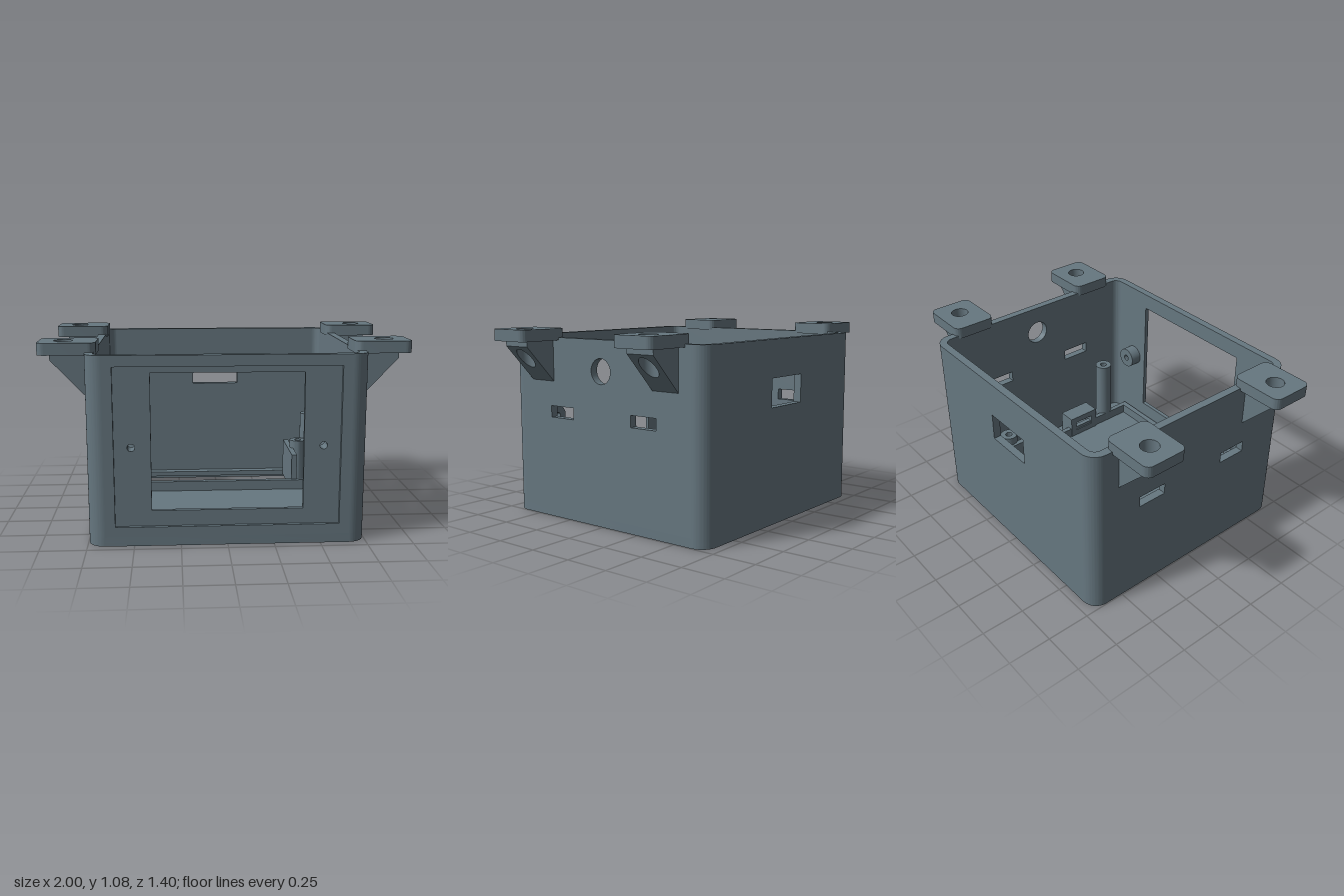
import * as THREE from 'three';
import { toCreasedNormals } from 'three/addons/utils/BufferGeometryUtils.js';

const material = new THREE.MeshStandardMaterial({ color: 0x667780 });
const W = 0.745, D = 0.7, H = 1.025, T = 0.045, R = 0.09, FLOOR = 0.05;

// Rectangle outline between two corners, optionally with rounded corners
function rect(x0, y0, x1, y1, r = 0, Type = THREE.Path) {
  const p = new Type();
  if (!r) {
    p.moveTo(x0, y0).lineTo(x1, y0).lineTo(x1, y1).lineTo(x0, y1).closePath();
    return p;
  }
  p.absarc(x1 - r, y0 + r, r, -Math.PI / 2, 0);
  p.absarc(x1 - r, y1 - r, r, 0, Math.PI / 2);
  p.absarc(x0 + r, y1 - r, r, Math.PI / 2, Math.PI);
  p.absarc(x0 + r, y0 + r, r, Math.PI, Math.PI * 1.5);
  p.closePath();
  return p;
}
const plate = (x0, y0, x1, y1, r) => rect(x0, y0, x1, y1, r, THREE.Shape);
const circle = (x, y, r) => new THREE.Path().absarc(x, y, r, 0, Math.PI * 2);

function extrude(shape, holes, depth) {
  shape.holes.push(...holes);
  return new THREE.ExtrudeGeometry(shape, { depth, bevelEnabled: false, curveSegments: 16 });
}

export function createModel() {
  const model = new THREE.Group();
  model.name = 'enclosure';
  const add = (name, geometry, parent = model) => {
    const mesh = new THREE.Mesh(toCreasedNormals(geometry, 0.6), material);
    mesh.name = name;
    parent.add(mesh);
    return mesh;
  };
  // Slab lying flat: outline in (x, z), between heights y0 and y1
  const flat = (name, shape, holes, y0, y1) =>
    add(name, extrude(shape, holes, y1 - y0).rotateX(Math.PI / 2).translate(0, y1, 0));
  // Slab facing front: outline in (x, y)
  const facing = (name, shape, holes, z0, z1) =>
    add(name, extrude(shape, holes, z1 - z0).translate(0, 0, z0));
  // Slab facing sideways: outline in (z, y)
  const sideways = (name, shape, holes, x0, x1) =>
    add(name, extrude(shape, holes, x1 - x0).rotateY(-Math.PI / 2).translate(x1, 0, 0));

  // Floor in two layers: a wide recess below, a smaller opening above
  flat('floorRecess', plate(-W, -D, W, D, R),
    [rect(-0.6, -0.63, 0.6, -0.15, 0.03), circle(0.615, 0, 0.035)], 0, 0.02);
  flat('floor', plate(-W, -D, W, D, R),
    [rect(-0.47, -0.6, 0.47, -0.18), circle(0.615, 0, 0.035),
      circle(-0.53, -0.375, 0.02), circle(0.53, -0.375, 0.02)], 0.02, FLOOR);

  // Front wall: shallow outer recess, then opening and screw holes
  const fx = W - R, fz = D - R;
  facing('frontWallRecess', plate(-fx, FLOOR, fx, H), [rect(-0.6, 0.105, 0.6, 0.965)], D - 0.02, D);
  facing('frontWall', plate(-fx, FLOOR, fx, H),
    [rect(-0.405, 0.19, 0.405, 0.93), circle(-0.51, 0.535, 0.02), circle(0.51, 0.535, 0.02)],
    D - T, D - 0.02);
  facing('backWall', plate(-fx, FLOOR, fx, H), [rect(-0.15, 0.655, 0.15, 0.815)], -D, -D + T);

  // Side walls with vent slots; the left one also has a round cable hole
  const slots = () => [rect(0.21, 0.575, 0.385, 0.64), rect(-0.385, 0.575, -0.21, 0.64)];
  sideways('leftWall', plate(-fz, FLOOR, fz, H), [...slots(), circle(0, 0.855, 0.07)], W - T, W);
  sideways('rightWall', plate(-fz, FLOOR, fz, H), slots(), -W, -W + T);

  // Rounded corner posts
  [[1, 1], [-1, 1], [-1, -1], [1, -1]].forEach(([sx, sz], i) => {
    const a = i * Math.PI / 2, b = a + Math.PI / 2;
    const s = new THREE.Shape();
    s.absarc(sx * fx, sz * fz, R, a, b, false);
    s.absarc(sx * fx, sz * fz, R - T, b, a, true);
    s.closePath();
    flat('corner', s, [], FLOOR, H);
  });

  // Raised rim of the floor tray
  flat('trayRim', plate(-0.59, -0.18, 0.59, 0.645), [rect(-0.56, -0.145, 0.56, 0.61)], FLOOR, 0.11);

  for (const s of [-1, 1]) {
    // Hollow standoffs on the floor
    for (const [x, z, top] of [[0.61, -0.47, 0.48], [0.61, 0.465, 0.48], [0.53, -0.375, 0.32]])
      flat('standoff', new THREE.Shape().absarc(s * x, z, 0.052, 0, Math.PI * 2),
        [circle(s * x, z, 0.021)], FLOOR, top);

    // Screw bosses behind the front wall
    facing('screwBoss', new THREE.Shape().absarc(s * 0.51, 0.535, 0.063, 0, Math.PI * 2),
      [circle(s * 0.51, 0.535, 0.02)], 0.585, D - T);

    // Upright rails beside the floor opening
    add('rail', new THREE.BoxGeometry(0.033, 0.24, 0.43).translate(s * 0.479, 0.15, -0.375));

    // Clips over the tray rim
    const cx = s * 0.608;
    sideways('trayClip', plate(0.14, FLOOR, 0.35, 0.19), [rect(0.18, 0.09, 0.31, 0.15)],
      cx - 0.055, cx + 0.055);

    // Mounting ears, each on a sloped gusset with the screw hole running through
    for (const z of [-0.445, 0.445]) {
      const x = s * 0.87;
      const [e0, e1] = [s * 0.69, s * 1].sort((a, b) => a - b);
      flat('mountingEar', plate(e0, z - 0.128, e1, z + 0.128, 0.04), [circle(x, z, 0.05)], 1.01, 1.075);

      const [g0, g1] = [s * 0.74, s * 0.935].sort((a, b) => a - b);
      const gusset = extrude(plate(g0, z - 0.085, g1, z + 0.085), [circle(x, z, 0.05)], 1)
        .rotateX(Math.PI / 2).translate(0, 1.012, 0);
      const p = gusset.attributes.position;
      for (let i = 0; i < p.count; i++)
        if (p.getY(i) < 0.5) p.setY(i, 0.78 + (Math.abs(p.getX(i)) - 0.745) * 1.05);
      gusset.computeVertexNormals();
      add('earGusset', gusset);
    }
  }
  return model;
}
